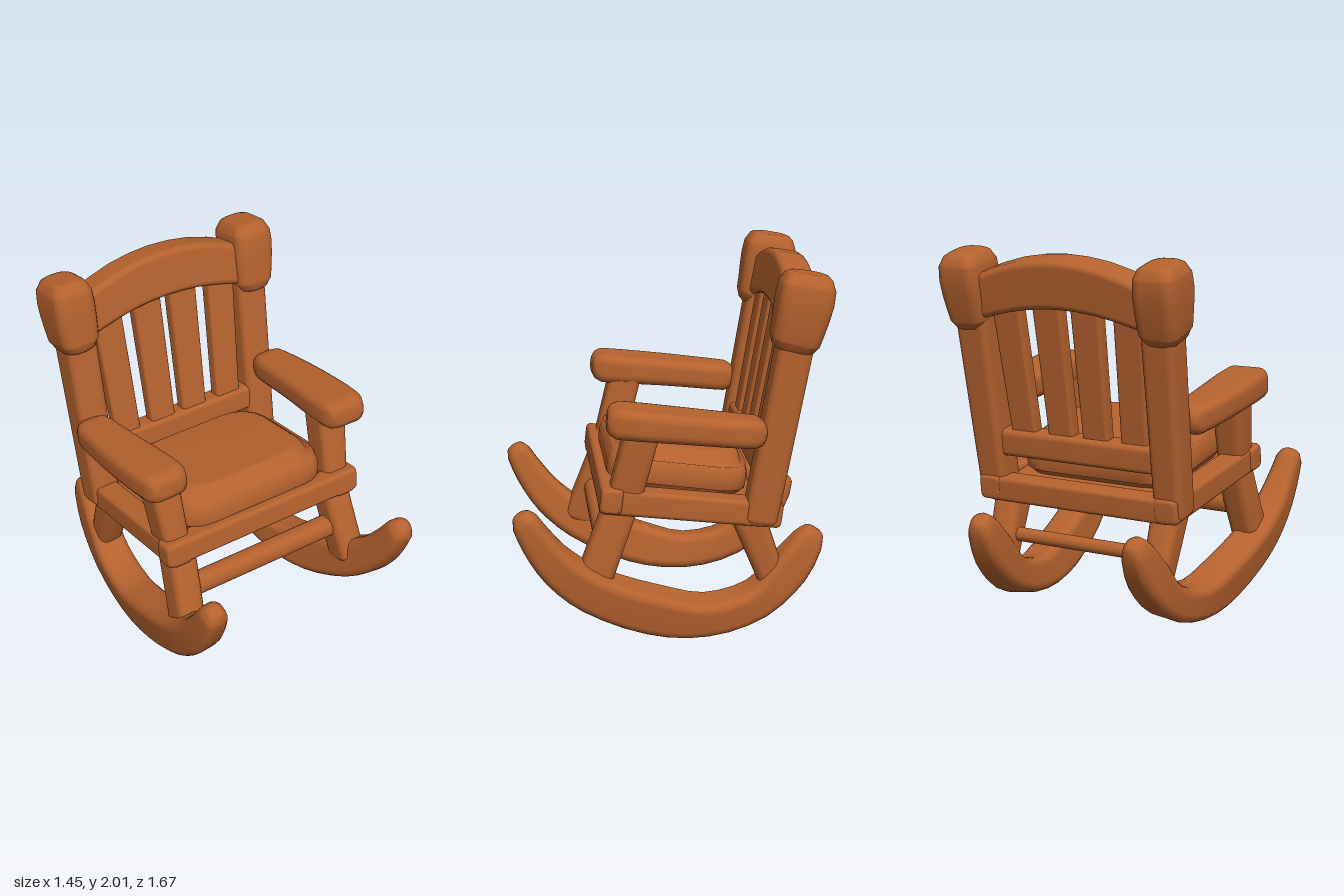
import * as THREE from 'three';

const wood = new THREE.MeshStandardMaterial({ color: 0xb5622e });
wood.name = 'warm wood';

// Outline of a rounded rectangle, counter-clockwise
function roundedRect(w, h, r) {
  r = Math.min(r, w * 0.49, h * 0.49);
  const pts = [];
  [[1, 1], [-1, 1], [-1, -1], [1, -1]].forEach(([sx, sy], q) => {
    for (let k = 0; k <= 4; k++) {
      const a = (q + k / 4) * Math.PI / 2;
      pts.push([sx * (w / 2 - r) + r * Math.cos(a), sy * (h / 2 - r) + r * Math.sin(a)]);
    }
  });
  return pts;
}

// Soft-edged bar through stations [x, y, z, width, height]; width lies along `side`
function bar(name, stations, { side = [1, 0, 0], r = 0.04, cap = r, smooth = 1 } = {}) {
  const path = new THREE.CatmullRomCurve3(stations.map(s => new THREE.Vector3(s[0], s[1], s[2])));
  const size = new THREE.CatmullRomCurve3(stations.map(s => new THREE.Vector3(s[3], s[4], 0)));
  const n = (stations.length - 1) * smooth;
  const pos = [], idx = [];
  let rings = 0, count = 0;

  const addRing = (t, shift, inset) => {
    const tan = path.getTangent(t);
    const u = new THREE.Vector3(...side);
    u.addScaledVector(tan, -u.dot(tan)).normalize();
    const v = new THREE.Vector3().crossVectors(tan, u);
    const c = path.getPoint(t).addScaledVector(tan, shift);
    const s = size.getPoint(t);
    const outline = roundedRect(s.x - 2 * inset, s.y - 2 * inset, r);
    count = outline.length;
    for (const [a, b] of outline) {
      const p = c.clone().addScaledVector(u, a).addScaledVector(v, b);
      pos.push(p.x, p.y, p.z);
    }
    rings++;
  };

  const round = [[0, 0.8], [0.08, 0.55], [0.3, 0.25], [0.9, 0]];
  round.forEach(([d, i]) => addRing(0, d * cap, i * cap));
  for (let i = 1; i < n; i++) addRing(i / n, 0, 0);
  [...round].reverse().forEach(([d, i]) => addRing(1, -d * cap, i * cap));

  for (let i = 0; i < rings - 1; i++) {
    for (let j = 0; j < count; j++) {
      const a = i * count + j, b = i * count + (j + 1) % count;
      idx.push(a, b, b + count, a, b + count, a + count);
    }
  }
  // End faces
  const last = (rings - 1) * count;
  for (let j = 1; j < count - 1; j++) {
    idx.push(0, j + 1, j, last, last + j, last + j + 1);
  }
  const geo = new THREE.BufferGeometry();
  geo.setAttribute('position', new THREE.Float32BufferAttribute(pos, 3));
  geo.setIndex(idx);
  geo.computeVertexNormals();
  const mesh = new THREE.Mesh(geo, wood);
  mesh.name = name;
  return mesh;
}

export function createModel() {
  const chair = new THREE.Group();
  chair.name = 'rockingChair';
  const lean = [0, 1, -0.18];
  const leanZ = y => -0.365 - 0.175 * y; // depth of the back at a given height

  for (const s of [1, -1]) {
    const part = (name, stations, options) =>
      chair.add(bar((s > 0 ? 'left' : 'right') + name, stations.map(([x, ...rest]) => [x * s, ...rest]), options));

    // Rocker, toed outwards at the front and tilted inwards below: [z, y, width, thickness]
    const rocker = [
      [0.795, 0.75, 0.13, 0.13], [0.71, 0.59, 0.155, 0.17], [0.595, 0.435, 0.18, 0.2],
      [0.42, 0.295, 0.2, 0.225], [0.1, 0.155, 0.21, 0.24], [-0.2, 0.1, 0.21, 0.2],
      [-0.48, 0.175, 0.2, 0.19], [-0.655, 0.345, 0.18, 0.21], [-0.80, 0.56, 0.13, 0.14],
    ].map(([z, y, w, t]) => [0.53 + 0.095 * z + 0.03 * z * z, y, z, w, t]);
    part('Rocker', rocker, { side: [1, -0.15 * s, 0], r: 0.05, smooth: 3 });

    // Legs and arm support
    part('FrontLeg', [[0.55, 0.3, 0.425, 0.16, 0.19], [0.51, 0.8, 0.24, 0.17, 0.18]], { r: 0.05 });
    part('RearLeg', [[0.48, 0.24, -0.58, 0.15, 0.15], [0.49, 0.7, -0.405, 0.17, 0.18]], { r: 0.05 });
    part('ArmSupport', [[0.53, 0.76, 0.25, 0.15, 0.18], [0.555, 1.2, 0.14, 0.18, 0.18]]);

    // Armrest, bowed outwards
    part('Armrest', [
      [0.58, 1.237, 0.335, 0.245, 0.165], [0.588, 1.217, 0.15, 0.27, 0.16],
      [0.597, 1.192, -0.08, 0.255, 0.155], [0.597, 1.165, -0.3, 0.23, 0.155],
      [0.59, 1.142, -0.495, 0.2, 0.155],
    ], { r: 0.05, cap: 0.06, smooth: 2 });

    // Back post with its swollen head
    part('BackPost', [[0.54, 0.63, leanZ(0.63), 0.17, 0.18], [0.562, 1.7, leanZ(1.7), 0.19, 0.185]]);
    part('PostHead', [
      [0.57, 1.575, leanZ(1.575) + 0.015, 0.21, 0.245], [0.575, 1.7, leanZ(1.7) + 0.005, 0.235, 0.265],
      [0.582, 1.85, leanZ(1.85), 0.245, 0.29], [0.582, 1.985, leanZ(1.985), 0.225, 0.27],
    ], { r: 0.06, smooth: 2 });

    part('SeatRail', [[0.55, 0.797, 0.375, 0.14, 0.14], [0.54, 0.677, -0.595, 0.14, 0.14]], { r: 0.025 });

    // Back slats, fanning slightly
    [[0.105, 0.117, 0.165], [0.335, 0.372, 0.165]].forEach(([x0, x1, w], i) =>
      part(i ? 'OuterSlat' : 'InnerSlat', [
        [x0, 0.9, leanZ(0.9) + 0.02, w - 0.01, 0.08],
        [x1, 1.78, leanZ(1.78) + 0.02, w + 0.01, 0.08],
      ], { r: 0.02 }));
  }

  // Arched crest rail
  chair.add(bar('crestRail', [-0.57, -0.46, -0.23, 0, 0.23, 0.46, 0.57].map(x => {
    const y = 1.85 - 0.4 * x * x;
    return [x, y, leanZ(y), 0.265 - 0.15 * x * x, 0.18];
  }), { side: lean, r: 0.035, smooth: 2 }));

  // Crosswise rails: [name, half length, y, z, height, depth, radius]
  [
    ['lowerBackRail', 0.52, 0.94, leanZ(0.94) + 0.01, 0.15, 0.13, 0.03],
    ['frontSeatRail', 0.635, 0.797, 0.315, 0.14, 0.12, 0.025],
    ['rearSeatRail', 0.56, 0.68, -0.53, 0.14, 0.12, 0.025],
    ['frontStretcher', 0.53, 0.52, 0.335, 0.12, 0.12, 0.05],
    ['rearStretcher', 0.47, 0.415, -0.51, 0.075, 0.075, 0.035],
  ].forEach(([name, half, y, z, h, d, r]) =>
    chair.add(bar(name, [[-half, y, z, h, d], [half, y, z, h, d]], { side: [0, 1, -0.12], r })));

  // Seat board and cushion, sloping down to the back
  chair.add(bar('seatBoard', [[0, 0.675, -0.095, 1.02, 0.84], [0, 0.78, -0.108, 1.02, 0.84]], { r: 0.03, cap: 0.02 }));
  chair.add(bar('cushion', [
    [0, 0.76, -0.048, 0.93, 0.75], [0, 0.88, -0.065, 0.945, 0.765], [0, 1.01, -0.083, 0.86, 0.69],
  ], { r: 0.16, cap: 0.08, smooth: 2 }));

  return chair;
}
